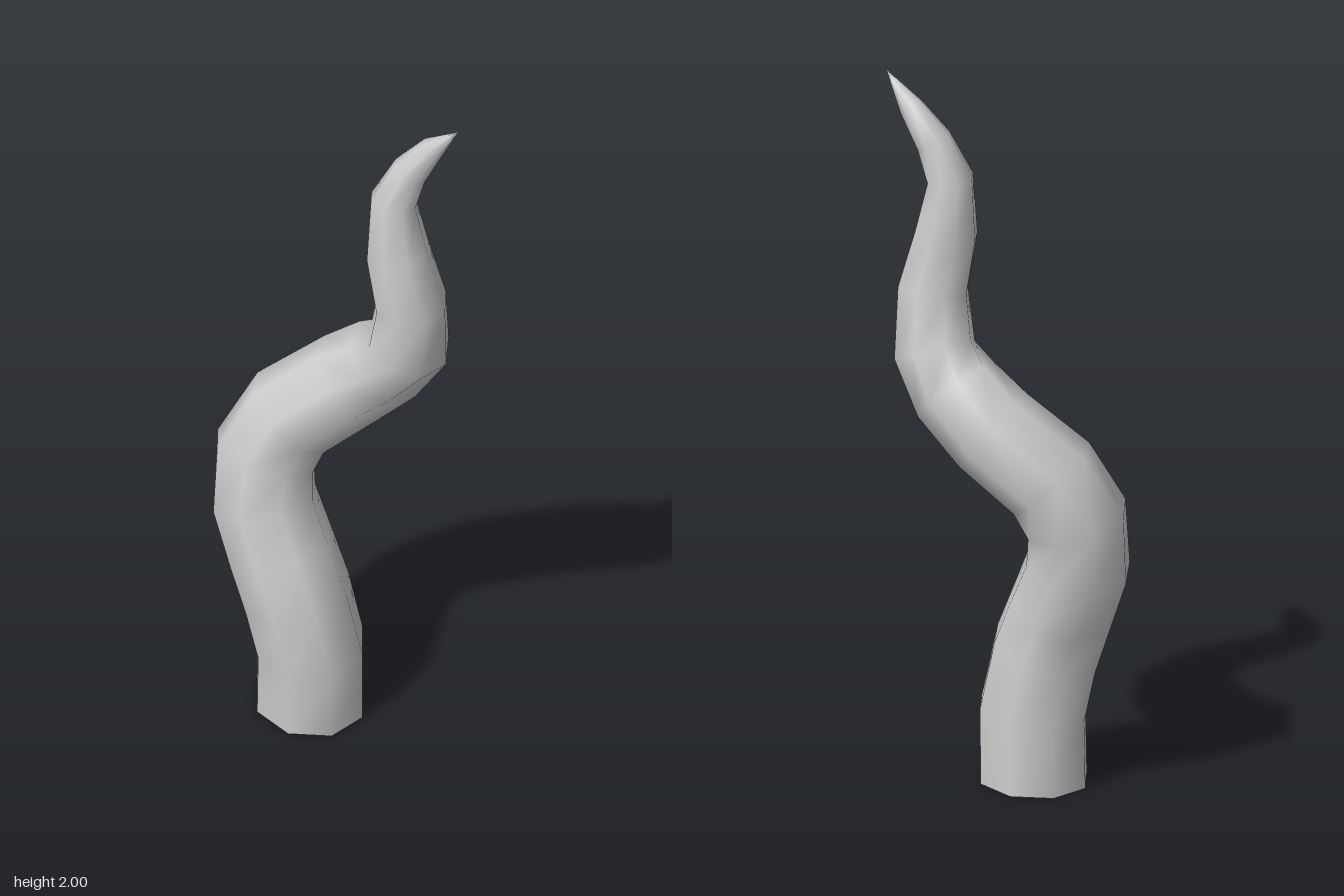
import * as THREE from 'three';

const SIDES = 8;

// Cross-sections from base to tip: centre x, y, z, then radius across x and across z
const SECTIONS = [
  [-0.06, 0, 0.01, 0.152, 0.174],
  [-0.06, 0.2, 0.016, 0.152, 0.17],
  [-0.095, 0.37, 0.007, 0.152, 0.168],
  [-0.125, 0.5, -0.038, 0.15, 0.158],
  [-0.155, 0.64, -0.088, 0.148, 0.151],
  [-0.143, 0.78, -0.113, 0.146, 0.146],
  [-0.075, 0.9, -0.1, 0.142, 0.142],
  [0.068, 1.03, -0.025, 0.136, 0.136],
  [0.148, 1.13, 0.053, 0.128, 0.128],
  [0.187, 1.225, 0.12, 0.116, 0.12],
  [0.178, 1.39, 0.162, 0.101, 0.103],
  [0.148, 1.555, 0.138, 0.09, 0.086],
  [0.142, 1.715, 0.12, 0.066, 0.067],
  [0.182, 1.82, 0.142, 0.051, 0.051],
  [0.234, 1.91, 0.18, 0.034, 0.034],
  [0.282, 2, 0.25, 0.001, 0.001],
];

// One ring of points per section, set square to the bending centre line
function makeRings() {
  const centres = SECTIONS.map(([x, y, z]) => new THREE.Vector3(x, y, z));
  const last = centres.length - 1;
  return centres.map((c, i) => {
    const along = i === 0 || i === last
      ? new THREE.Vector3(0, 1, 0)
      : centres[i + 1].clone().sub(centres[i - 1]).normalize();
    const u = new THREE.Vector3(0, 0, 1).addScaledVector(along, -along.z).normalize();
    const v = new THREE.Vector3().crossVectors(along, u);
    const [, , , rx, rz] = SECTIONS[i];
    return Array.from({ length: SIDES }, (_, k) => {
      const a = (k / SIDES) * Math.PI * 2;
      return c.clone().addScaledVector(u, rz * Math.cos(a)).addScaledVector(v, rx * Math.sin(a));
    });
  });
}

function toGeometry(points, index) {
  const geometry = new THREE.BufferGeometry().setFromPoints(points);
  geometry.setIndex(index);
  geometry.computeVertexNormals();
  return geometry;
}

export function createModel() {
  const group = new THREE.Group();
  group.name = 'tentacle';
  const material = new THREE.MeshStandardMaterial({ color: 0xcccccc });
  const rings = makeRings();

  // Tapering, twisting body
  const sideIndex = [];
  for (let i = 0; i < rings.length - 1; i++) {
    for (let k = 0; k < SIDES; k++) {
      const a = i * SIDES + k;
      const b = i * SIDES + ((k + 1) % SIDES);
      sideIndex.push(a, b, b + SIDES, a, b + SIDES, a + SIDES);
    }
  }
  const body = new THREE.Mesh(toGeometry(rings.flat(), sideIndex), material);
  body.name = 'body';
  group.add(body);

  // Flat underside
  const capIndex = [];
  for (let k = 1; k < SIDES - 1; k++) capIndex.push(0, k + 1, k);
  const base = new THREE.Mesh(toGeometry(rings[0], capIndex), material);
  base.name = 'base';
  group.add(base);

  return group;
}
